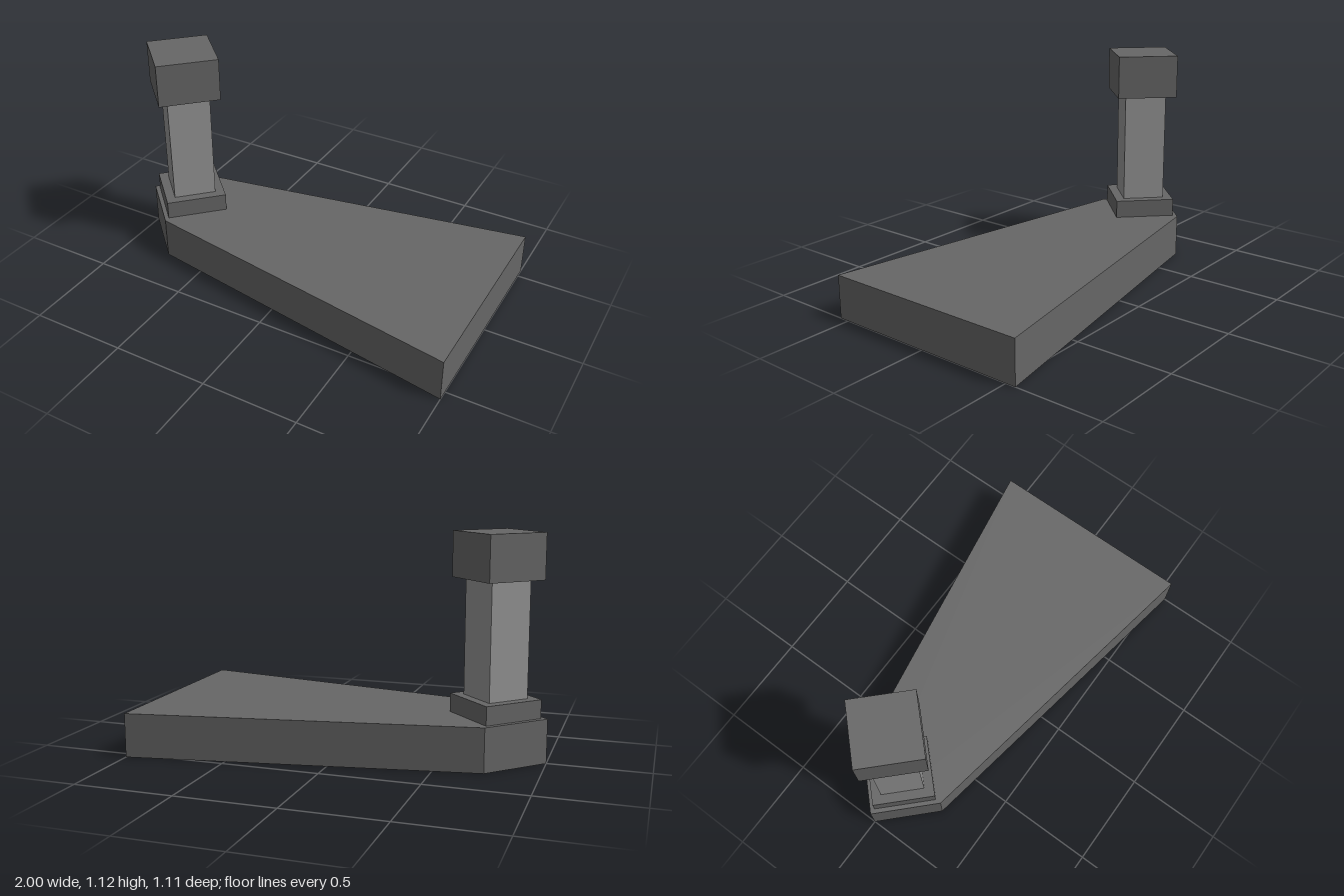
import * as THREE from 'three';

export function createModel() {
  const model = new THREE.Group();
  const darkGrey = new THREE.MeshStandardMaterial({ color: 0x666666 });
  darkGrey.name = 'dark grey';
  const lightGrey = new THREE.MeshStandardMaterial({ color: 0x949494 });
  lightGrey.name = 'light grey';

  // Tapered base slab with a pointed end
  const outline = new THREE.Shape([
    [-1, 0], [-0.742, -0.256], [1, -0.553], [1, 0.553], [-0.742, 0.256],
  ].map(([x, z]) => new THREE.Vector2(x, z)));
  const slab = new THREE.ExtrudeGeometry(outline, { depth: 0.223, bevelEnabled: false });
  slab.rotateX(-Math.PI / 2);
  const base = new THREE.Mesh(slab, darkGrey);
  base.name = 'base';
  model.add(base);

  // Square blocks turned 45 degrees, stacked into a post
  function addBlock(name, halfDiagonal, bottom, top, material) {
    const side = halfDiagonal * Math.SQRT2;
    const block = new THREE.Mesh(new THREE.BoxGeometry(side, top - bottom, side), material);
    block.name = name;
    block.position.set(-0.742, (bottom + top) / 2, 0);
    block.rotation.y = Math.PI / 4;
    model.add(block);
  }
  addBlock('postFoot', 0.225, 0.223, 0.317, darkGrey);
  addBlock('postShaft', 0.157, 0.317, 0.897, lightGrey);
  addBlock('postHead', 0.225, 0.897, 1.123, darkGrey);

  return model;
}
